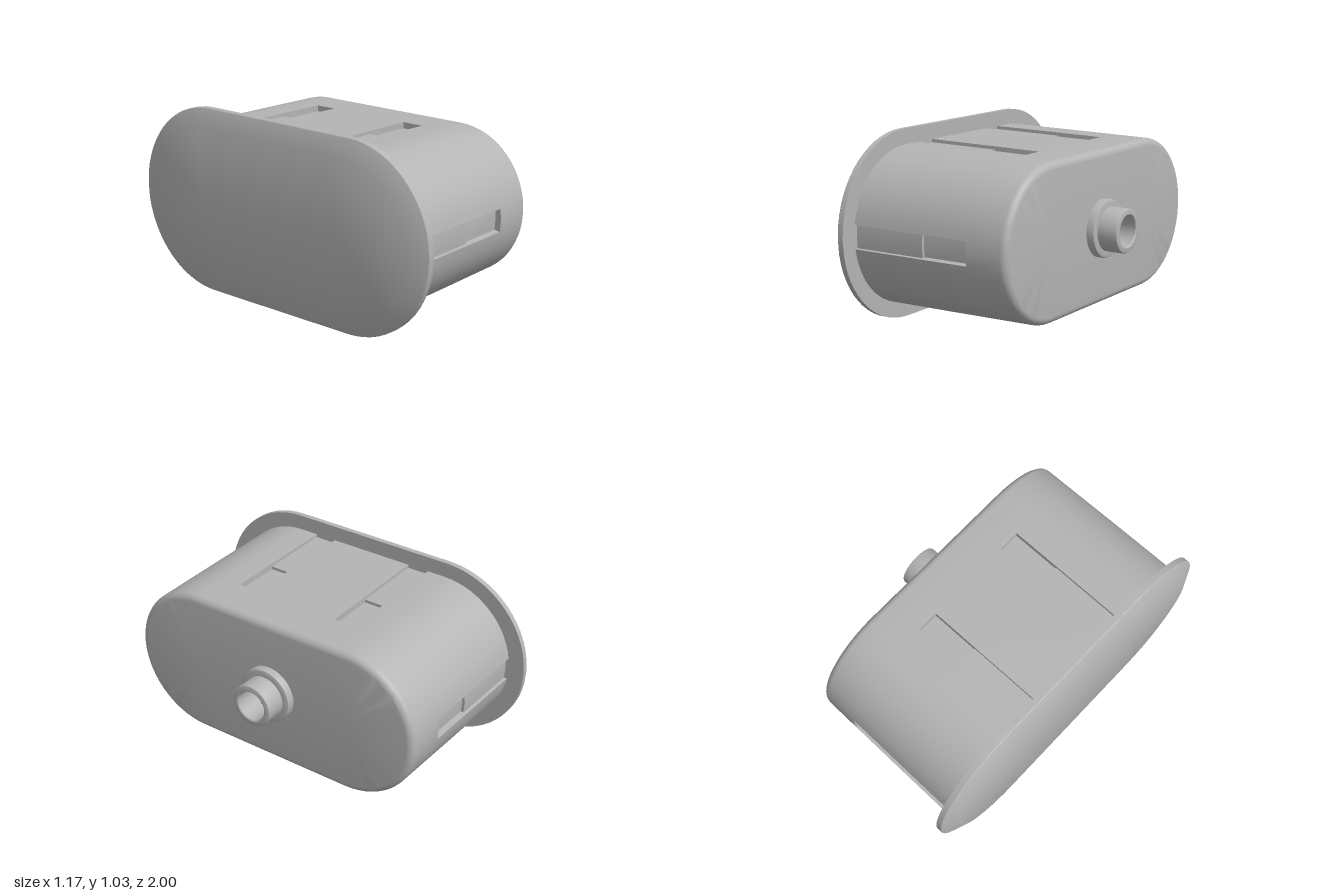
import * as THREE from 'three';
import { toCreasedNormals } from 'three/addons/utils/BufferGeometryUtils.js';

const CENTER_Y = 0.517;
const SLOT_HALF = 0.0625; // half width of every latch slot
const SLOT_Z = 0.31;      // offset of the slots on the flat sides
const SLOT_ANGLE = Math.asin(SLOT_HALF / 0.42);

// Stadium outline as steps of { arc centre z, angle }, split at the slot edges
function stadium(halfStraight) {
  const ring = [];
  const half = [0];
  for (let i = 0; i <= 14; i++) half.push(SLOT_ANGLE + (Math.PI / 2 - SLOT_ANGLE) * i / 14);
  const arc = [...half.slice(1).reverse().map(a => -a), ...half];
  const flat = [SLOT_Z + SLOT_HALF, SLOT_Z - SLOT_HALF, -SLOT_Z + SLOT_HALF, -SLOT_Z - SLOT_HALF];
  for (const side of [1, -1]) {
    for (const a of arc) ring.push({ cz: side * halfStraight, a: a + (side > 0 ? 0 : Math.PI) });
    for (const z of flat) ring.push({ cz: side * z, a: Math.PI / 2 + (side > 0 ? 0 : Math.PI) });
  }
  ring.push({ cz: halfStraight, a: Math.PI * 1.5 });
  return ring;
}

// Loft the outline along x through [x, radius]; cells may be sunk, with walls around them
function loft(halfStraight, stations, depth = () => 0) {
  const ring = stadium(halfStraight);
  const pos = [];
  const point = (i, j, d) => {
    const { cz, a } = ring[i], r = stations[j][1] - d;
    return [stations[j][0], r * Math.sin(a), cz + r * Math.cos(a)];
  };
  const quad = (a, b, c, d) => pos.push(...a, ...b, ...c, ...a, ...c, ...d);
  const n = ring.length - 1;
  const cell = (i, j) => depth(ring[i % n], ring[i % n + 1], j);
  for (let j = 0; j < stations.length - 1; j++) {
    for (let i = 0; i < n; i++) {
      const d = cell(i, j), side = cell(i + 1, j), next = cell(i, j + 1);
      quad(point(i, j, d), point(i, j + 1, d), point(i + 1, j + 1, d), point(i + 1, j, d));
      if (d !== side) {
        quad(point(i + 1, j, d), point(i + 1, j + 1, d), point(i + 1, j + 1, side), point(i + 1, j, side));
      }
      if (d !== next) {
        quad(point(i, j + 1, d), point(i, j + 1, next), point(i + 1, j + 1, next), point(i + 1, j + 1, d));
      }
    }
  }
  const g = new THREE.BufferGeometry();
  g.setAttribute('position', new THREE.Float32BufferAttribute(pos, 3));
  g.computeVertexNormals();
  return toCreasedNormals(g, 0.5);
}

// Two-step latch slots: shallow next to the flange, deeper at the far end
function slotDepth(p, q, j) {
  if (j > 1) return 0;
  const straight = Math.abs(p.a - q.a) < 1e-6;
  const inFlat = straight && Math.abs(Math.abs((p.cz + q.cz) / 2) - SLOT_Z) < SLOT_HALF;
  const inEnd = !straight && Math.abs(Math.sin((p.a + q.a) / 2)) < Math.sin(SLOT_ANGLE);
  return inFlat || inEnd ? (j === 0 ? 0.018 : 0.034) : 0;
}

export function createModel() {
  const grey = new THREE.MeshStandardMaterial({ color: 0xb4b4b4 });
  grey.name = 'plain grey';
  const model = new THREE.Group();
  model.name = 'flangedPlug';
  const add = (name, geometry) => {
    const mesh = new THREE.Mesh(geometry, grey);
    mesh.name = name;
    mesh.position.y = CENTER_Y;
    model.add(mesh);
    return mesh;
  };

  // Tapered body with a rounded front rim
  const body = [[-0.515, 0.43], [-0.093, 0.425], [0.187, 0.421], [0.385, 0.418]];
  for (let k = 1; k <= 6; k++) {
    const t = k / 6 * Math.PI / 2;
    body.push([0.385 + 0.04 * Math.sin(t), 0.378 + 0.04 * Math.cos(t)]);
  }
  body.push([0.425, 0]);
  add('body', loft(0.478, body, slotDepth));

  // Bevelled flange closing the back
  add('flange', loft(0.485, [[-0.59, 0], [-0.59, 0.42], [-0.55, 0.512], [-0.546, 0.515], [-0.515, 0.515], [-0.515, 0]]));

  // Collar and hollow nozzle turned around the x axis
  const profile = [
    [0.158, 0.42], [0.158, 0.459], [0.155, 0.467], [0.147, 0.47], [0.12, 0.47],
    [0.12, 0.574], [0.117, 0.582], [0.109, 0.585], [0.09, 0.585], [0.085, 0.58], [0.085, 0.435], [0, 0.435],
  ].map(([r, x]) => new THREE.Vector2(r, x));
  const nozzle = new THREE.LatheGeometry(profile, 48).rotateZ(-Math.PI / 2);
  add('nozzle', toCreasedNormals(nozzle, 0.6));

  // Low bar across the bottom of the bore
  add('boreBar', new THREE.BoxGeometry(0.02, 0.145, 0.08)).position.x = 0.44;

  return model;
}
